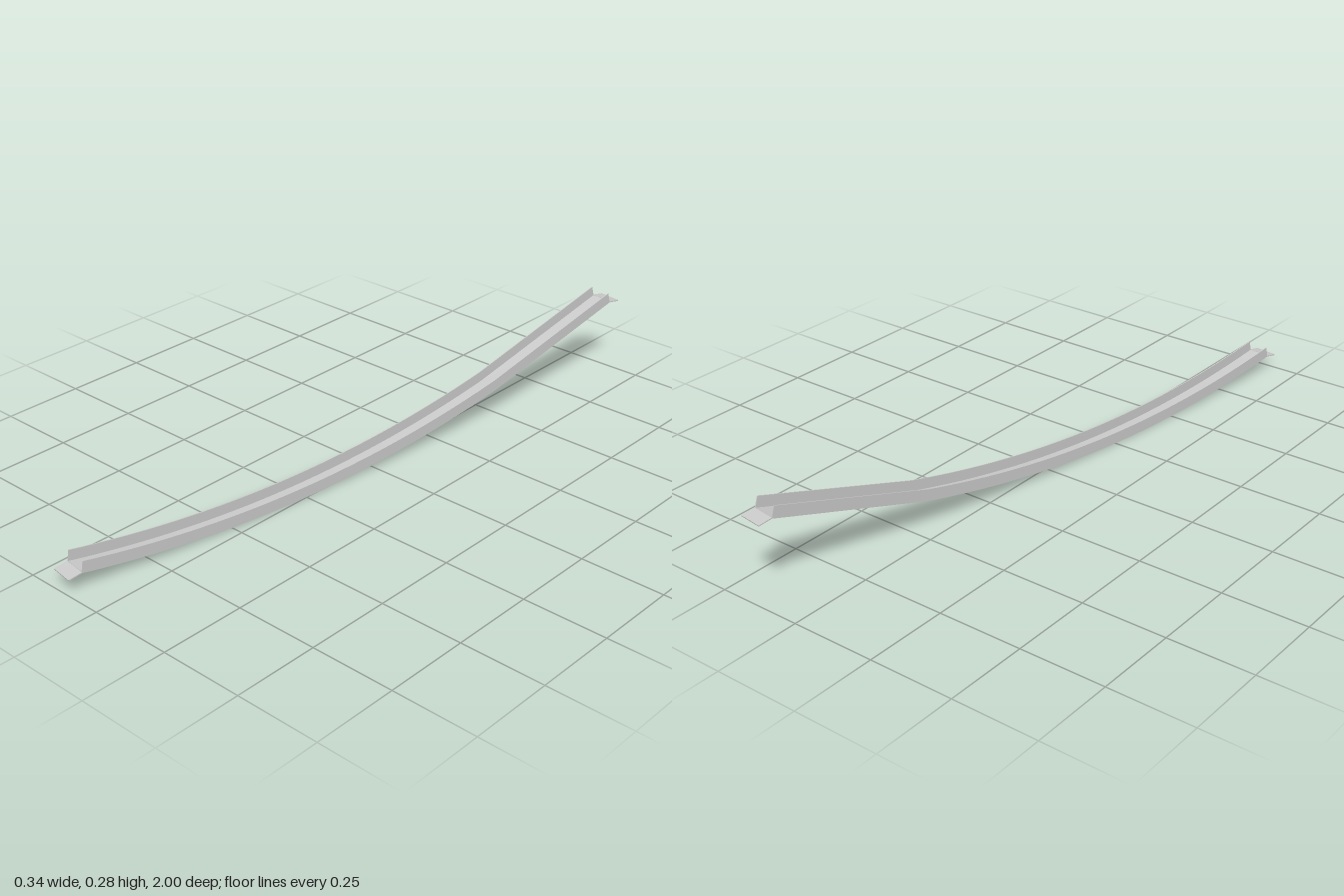
import * as THREE from 'three';
import { toCreasedNormals } from 'three/addons/utils/BufferGeometryUtils.js';

const WIDTH = 0.0705, SHEET = 0.003, RAIL_HEIGHT = 0.034;
const YAW = Math.atan(0.136);          // the chute runs slightly askew in plan
const STRETCH = 1 / Math.cos(YAW);     // z distance to distance along the chute

// Underside of the chute: a straight upper run, then a shallow arc that rises again at the front
function chutePath() {
  const points = [new THREE.Vector2(-0.956, 0.243)];
  const from = -0.475, to = 0.956, steps = 40;
  for (let i = 0; i <= steps; i++) {
    const z = from + (to - from) * i / steps;
    points.push(new THREE.Vector2(z, (z - 0.345) ** 2 / 6.9));
  }
  points.forEach(p => { p.x *= STRETCH; });
  return points;
}

// Moves a path sideways along its normals
function offsetPath(path, distance) {
  return path.map((p, i) => {
    const a = path[Math.max(i - 1, 0)], b = path[Math.min(i + 1, path.length - 1)];
    const t = b.clone().sub(a).normalize();
    return new THREE.Vector2(p.x - t.y * distance, p.y + t.x * distance);
  });
}

// A strip following the path, of the given thickness, spanning `width` about x
function strip(name, path, thickness, x, width, material) {
  const outline = [...path, ...offsetPath(path, thickness).reverse()];
  const extruded = new THREE.ExtrudeGeometry(new THREE.Shape(outline), { depth: width, bevelEnabled: false });
  extruded.translate(0, 0, -width / 2).rotateY(-Math.PI / 2);
  const mesh = new THREE.Mesh(toCreasedNormals(extruded, 0.4), material);
  mesh.position.x = x;
  mesh.name = name;
  return mesh;
}

export function createModel() {
  const model = new THREE.Group();
  model.name = 'chute';
  const material = new THREE.MeshStandardMaterial({ color: 0xcccccc, side: THREE.DoubleSide });
  const path = chutePath();

  // Floor
  model.add(strip('floor', path, SHEET, 0, WIDTH, material));

  // Upright side walls
  for (const side of [-1, 1]) {
    model.add(strip(side > 0 ? 'leftWall' : 'rightWall', path, RAIL_HEIGHT,
      side * (WIDTH - SHEET) / 2, SHEET, material));
  }

  // Lips bent down beyond the walls at both ends
  const first = path[0], last = path[path.length - 1];
  const backTip = new THREE.Vector2(-0.995 * STRETCH, 0.237);
  const frontTip = new THREE.Vector2(0.995 * STRETCH, 0.047);
  model.add(strip('backLip', [backTip, first], SHEET, 0, WIDTH, material));
  model.add(strip('frontLip', [last, frontTip], SHEET, 0, WIDTH, material));

  model.rotation.y = -YAW;
  return model;
}
